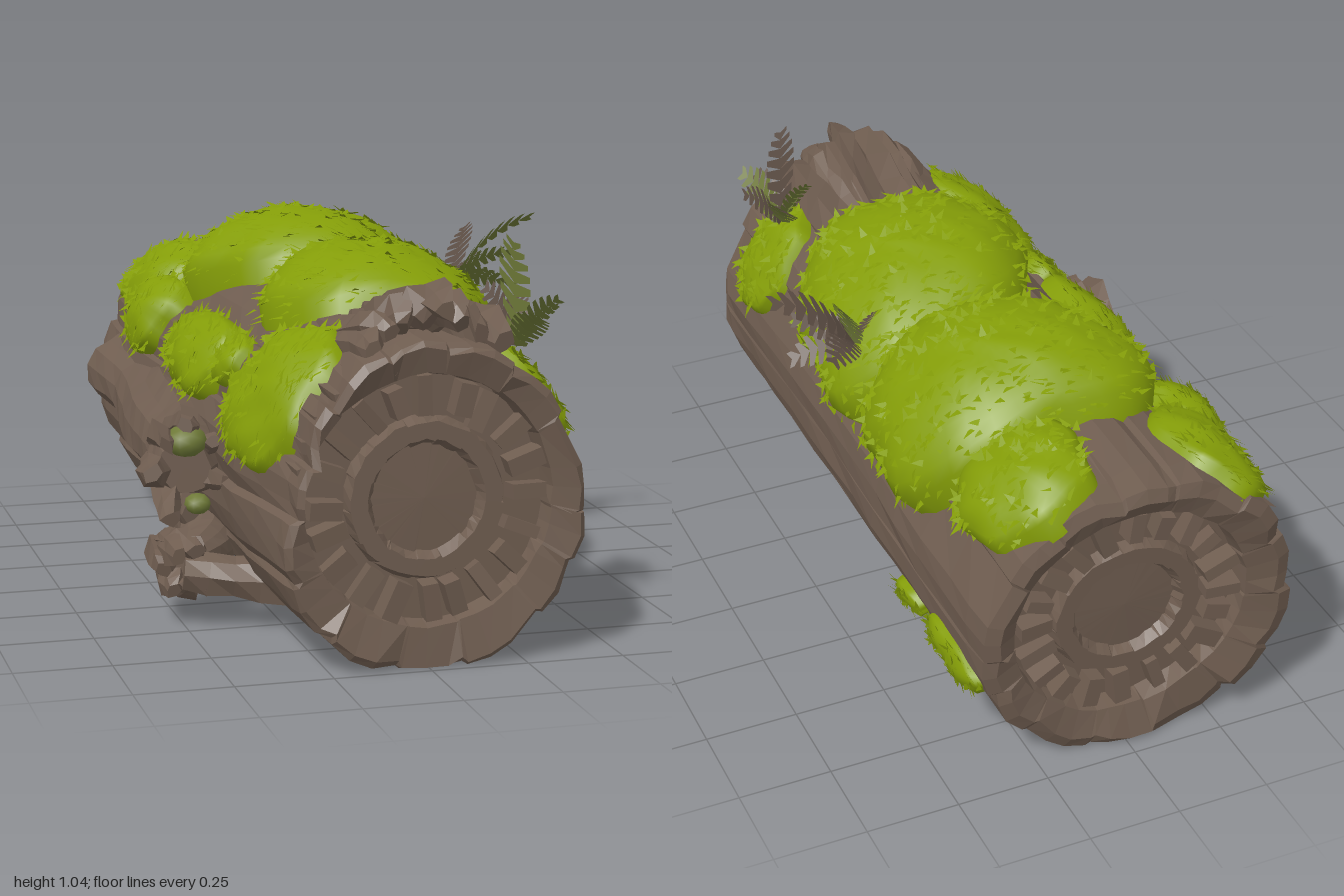
import * as THREE from 'three';

const bark = new THREE.MeshStandardMaterial({ color: 0x6f5d50 }); bark.name = 'bark';
const moss = new THREE.MeshStandardMaterial({ color: 0x849d08, side: THREE.DoubleSide }); moss.name = 'moss';
const fern = new THREE.MeshStandardMaterial({ color: 0x6f7a38 }); fern.name = 'fern';
const dryFern = new THREE.MeshStandardMaterial({ color: 0x5c4d43 }); dryFern.name = 'dryFern';

const V = (x, y, z) => new THREE.Vector3(x, y, z);
const CY = 0.42, RAD = Math.PI / 180;
let seed = 7;
const rnd = () => (seed = (seed * 16807) % 2147483647) / 2147483647;
const jit = a => (rnd() * 2 - 1) * a;
const step = THREE.MathUtils.smoothstep;
const polar = (a, r, z) => V(Math.cos(a) * r, CY + Math.sin(a) * r, z);
const backLean = p => 0.05 * p.x - 0.07 * (p.y - CY);

function fromTriangles(points) {
  const g = new THREE.BufferGeometry().setFromPoints(points);
  g.computeVertexNormals();
  return g;
}

// Closed loops of points joined into a skin, faceted unless smooth
function skin(rows, smooth = false) {
  const n = rows[0].length, idx = [];
  for (let i = 0; i < rows.length - 1; i++)
    for (let j = 0; j < n; j++) {
      const a = i * n + j, b = i * n + (j + 1) % n;
      idx.push(a, b, b + n, a, b + n, a + n);
    }
  let g = new THREE.BufferGeometry().setFromPoints(rows.flat());
  g.setIndex(idx);
  if (!smooth) g = g.toNonIndexed();
  g.computeVertexNormals();
  return g;
}

function add(parent, name, geometry, material) {
  const m = new THREE.Mesh(geometry, material);
  m.name = name;
  parent.add(m);
  return m;
}

// Trunk radius: wider below and at the back left, worn away at the left of the front end
function trunkR(a, z) {
  const worn = Math.max(0, Math.cos(a - 164 * RAD)) ** 4;
  return 0.4 + 0.04 * Math.max(0, -Math.sin(a)) + 0.04 * Math.max(0, -Math.cos(a)) * step(-z, 0.1, 0.8)
    - 0.07 * worn * step(z, 0.55, 0.92);
}

// Wide bark planks with narrow wavering grooves, and hollowed rings on both cut ends
function trunk() {
  const planks = 14, cols = [];
  for (let p = 0; p < planks; p++) {
    const a = (p + jit(0.25)) / planks * Math.PI * 2, w = Math.PI * 2 / planks;
    const lift = jit(0.005), end = jit(0.014), wave = rnd() * 6;
    cols.push({ a, d: -0.014, end, wave }, { a: a + 0.025, d: lift, end, wave },
      { a: a + w * 0.38, d: lift + 0.006, end, wave }, { a: a + w * 0.7, d: lift, end, wave });
  }
  const rings = [[0, 0.06], [0.135, 0.065], [0.15, 0.035], [0.195, 0.035], [0.205, 0.075], [0.31, 0.075], [0.318, 0.02]];
  const ring = (r, z) => cols.map(c => polar(c.a, r + (r ? jit(0.004) : 0), z));
  const outer = (z, inset, useEnd) => cols.map(c =>
    polar(c.a + 0.03 * Math.sin(z * 4 + c.wave), trunkR(c.a, z) + c.d + jit(0.004) - inset, z + (useEnd ? c.end : jit(0.02))));
  const rows = rings.map(([r, d]) => ring(r, -0.97 + d));
  rows.push(outer(-0.97, 0.04, true), outer(-0.955, 0.004, true));
  for (let z = -0.86; z < 0.93; z += 0.16) rows.push(outer(z, 0, false));
  rows.push(outer(0.97, 0.004, true), outer(0.985, 0.02, true));
  rings.reverse().forEach(([r, d]) => rows.push(ring(r, 0.985 - d)));
  rows.flat().forEach(p => {
    if (p.z < -0.8) p.z += backLean(p);
    p.y = Math.max(p.y, 0);
  });
  return skin(rows);
}

// Irregular wooden tube through points [x, y, z, radius]
function limb(path, sides, rough, steps) {
  const curve = new THREE.CatmullRomCurve3(path.map(p => V(p[0], p[1], p[2])));
  const rows = [];
  const ridges = Array.from({ length: sides }, () => 1 + jit(rough));
  for (let i = 0; i <= steps; i++) {
    const t = i / steps, c = curve.getPoint(t), dir = curve.getTangent(t);
    const s = V(0, 1, 0).cross(dir).normalize(), u = dir.clone().cross(s);
    const k = Math.min(Math.floor(t * (path.length - 1)), path.length - 2), f = t * (path.length - 1) - k;
    const r = path[k][3] * (1 - f) + path[k + 1][3] * f;
    rows.push(ridges.map((q, j) => {
      const a = j / sides * Math.PI * 2, rr = r * (q + jit(rough * 0.4));
      return c.clone().addScaledVector(s, Math.cos(a) * rr).addScaledVector(u, Math.sin(a) * rr);
    }));
  }
  const cap = rows.at(-1).reduce((m, p) => m.add(p), V(0, 0, 0)).divideScalar(sides);
  rows.push(rows.at(-1).map(() => cap));
  return skin(rows);
}

// Point on a moss cushion at rho (0 centre, 1 edge); skew slants it around the trunk
function mossPoint(c, rho, phi) {
  const wob = 1 + 0.05 * Math.sin(phi * 3 + c.z * 9) + 0.03 * Math.sin(phi * 7 + c.a);
  const sq = 1 / Math.pow(Math.abs(Math.cos(phi)) ** 2.4 + Math.abs(Math.sin(phi)) ** 2.4, 1 / 2.4);
  const v = rho * wob * sq * Math.sin(phi);
  const a = (c.a + c.ha * rho * wob * sq * Math.cos(phi) + c.skew * v) * RAD, z = c.z + c.hz * v;
  const h = c.t * Math.pow(Math.max(0, 1 - rho ** 2.3), 0.7);
  const bump = rho < 1 ? 0.006 * Math.sin(a * 17 + z * 9) * Math.sin(z * 23 + a * 5) : 0;
  return polar(a, trunkR(a, z) + 0.008 + h + bump - (rho >= 1 ? 0.03 : 0), z);
}

function mossPatch(parent, c) {
  const g = new THREE.Group();
  g.name = c.name;
  parent.add(g);
  const rows = [];
  for (let i = 0; i <= 11; i++)
    rows.push(Array.from({ length: 36 }, (_, j) => mossPoint(c, 1 - i / 11, j / 36 * Math.PI * 2)));
  add(g, 'mossCushion', skin(rows, true), moss);
  // Small leaves lying on the cushion
  const tris = [];
  const count = Math.round(60 + c.ha * c.hz * 24);
  for (let i = 0; i < count; i++) {
    const p = mossPoint(c, Math.sqrt(rnd()) * 0.98, rnd() * Math.PI * 2);
    const out = V(p.x, p.y - CY, 0).normalize();
    const side = V(jit(1), jit(1), jit(1)).cross(out).normalize(), along = out.clone().cross(side);
    tris.push(p.clone().addScaledVector(side, 0.011), p.clone().addScaledVector(side, -0.011),
      p.clone().addScaledVector(out, 0.004 + rnd() * 0.01).addScaledVector(along, 0.036));
  }
  add(g, 'mossLeaves', fromTriangles(tris), moss);
}

// Arching fronds with paired leaflets, each ending at a tip offset; the two faces are coloured apart
function fronds(parent, name, base, tips, upper, lower) {
  const under = [], over = [];
  for (const [x, y, z] of tips) {
    const tip = V(x, y, z), len = tip.length(), n = 8;
    const curve = new THREE.QuadraticBezierCurve3(V(0, 0, 0), V(x * 0.4, y * 0.5 + len * 0.2, z * 0.4), tip);
    const side = V(-z, Math.hypot(x, z) * 0.7, x).normalize();
    for (let i = 0; i < n; i++) {
      const p = curve.getPoint(i / n).add(base), q = curve.getPoint((i + 1) / n).add(base);
      const w = 0.05 * Math.sin(Math.PI * (0.2 + 0.75 * i / n)) * Math.min(1, len / 0.16);
      const dir = q.clone().sub(p);
      for (const s of [-1, 1]) {
        const t = p.clone().addScaledVector(side, s * w).addScaledVector(dir, 0.9);
        const e = t.clone().addScaledVector(dir, 0.5);
        const leaf = s > 0 ? [p, q, t, q, e, t] : [q, p, t, e, q, t];
        under.push(...leaf);
        over.push(...leaf.map(v => v.clone().add(V(0, 0.0015, -0.001))).reverse());
      }
    }
  }
  add(parent, name + 'Underside', fromTriangles(under), lower);
  add(parent, name + 'Upperside', fromTriangles(over), upper);
}

export function createModel() {
  const model = new THREE.Group();
  model.name = 'mossyLog';
  add(model, 'trunk', trunk(), bark);

  // Rough radial wood blocks on each cut end
  for (const [name, z] of [['frontGrain', 0.915], ['backGrain', -0.9]]) {
    const g = new THREE.Group();
    g.name = name;
    for (let i = 0; i < 20; i++) {
      const a = (i + jit(0.15)) / 20 * Math.PI * 2;
      const m = add(g, 'grainBlock', new THREE.BoxGeometry(0.085 + jit(0.018), 0.04 + jit(0.008), 0.09), bark);
      m.position.copy(polar(a, 0.262 + jit(0.008), z + jit(0.008)));
      if (z < 0) m.position.z += backLean(m.position);
      m.rotation.set(jit(0.12), jit(0.12), a + jit(0.15));
    }
    model.add(g);
  }

  // Two side limbs along the left of the front view, ending in broken lumps
  const limbs = [
    ['upperLimb', [[-0.39, 0.44, -0.82, 0.12], [-0.37, 0.42, -0.55, 0.11], [-0.4, 0.4, -0.15, 0.13], [-0.42, 0.4, 0.1, 0.115], [-0.46, 0.41, 0.3, 0.1], [-0.485, 0.41, 0.4, 0.07]], 0.1],
    ['lowerLimb', [[-0.32, 0.25, -0.55, 0.05], [-0.35, 0.19, -0.1, 0.08], [-0.4, 0.16, 0.25, 0.08], [-0.5, 0.16, 0.42, 0.05]], 0.055]];
  for (const [name, path, r] of limbs) {
    const g = new THREE.Group();
    g.name = name;
    add(g, 'limbBark', limb(path, 15, 0.08, 16), bark);
    const [x, y, z] = path.at(-1);
    for (let i = 0; i < 7; i++) {
      const a = i / 7 * Math.PI * 2 + 0.5, c = Math.cos(a) * r, s = Math.sin(a) * r;
      add(g, 'splinter', limb([[x + c * 0.5, y + s * 0.6, z - 0.14, 0.04], [x + c * 0.8, y + s * 1.1, z - 0.02, 0.04],
        [x + c + jit(0.02), y + s * 1.3 + jit(0.03), z + 0.05 + jit(0.04), 0.022]], 6, 0.4, 4), bark);
    }
    model.add(g);
  }
  add(model, 'lowerLimbFlare', limb([[-0.18, 0.13, 0.5, 0.09], [-0.34, 0.13, 0.47, 0.065], [-0.5, 0.15, 0.44, 0.06]], 8, 0.25, 5), bark);

  // Dull growth on the broken limb
  for (const [x, y, z, r] of [[-0.48, 0.48, 0.39, 0.055], [-0.46, 0.32, 0.43, 0.035]]) {
    const m = add(model, 'limbGrowth', new THREE.IcosahedronGeometry(r, 1), fern);
    m.position.set(x, y, z);
    m.scale.set(1, 0.8, 1.1);
  }

  // Torn bark crest over the top of the front end
  const crest = new THREE.Group();
  crest.name = 'tornBarkCrest';
  for (let i = 0; i < 8; i++) {
    const x = -0.14 + i * 0.045, lift = 0.11 * Math.sin(Math.PI * ((i + 1.2) / 9) ** 1.3) + jit(0.012);
    add(crest, 'barkShard', limb([[x * 0.9, 0.76, 0.45, 0.05], [x, 0.77 + lift * 0.4, 0.66, 0.055], [x + 0.01, 0.78 + lift, 0.83, 0.05],
      [x + 0.02 + jit(0.02), 0.765 + lift + jit(0.03), 0.91 + jit(0.05), 0.024]], 6, 0.4, 6), bark);
  }
  for (let i = 0; i < 6; i++) {
    const a = (106 + i * 12) * RAD, p = polar(a, 0.36, 0.4), q = polar(a, 0.355 - i * 0.007, 0.95 + jit(0.03));
    add(crest, 'edgeShard', limb([[p.x, p.y, p.z, 0.03], [q.x, q.y, q.z - 0.2, 0.032], [q.x, q.y, q.z, 0.02]], 5, 0.35, 4), bark);
  }
  model.add(crest);

  // Moss cushions: centre angle, half angle, centre z, half length, thickness, skew
  [['frontTopMoss', 70, 53, 0.2, 0.37, 0.14, 10], ['backTopMoss', 72, 58, -0.37, 0.32, 0.15, -8],
    ['backRightMoss', 57, 27, -0.76, 0.2, 0.08, 0], ['backLeftMoss', 132, 21, -0.79, 0.2, 0.05, 0],
    ['backLeftLowMoss', 146, 17, -0.54, 0.15, 0.07, 0], ['middleLeftMoss', 148, 17, -0.01, 0.27, 0.07, 0],
    ['smallLeftMoss', 143, 11, 0.28, 0.09, 0.04, 0], ['frontLeftMoss', 143, 32, 0.65, 0.22, 0.05, 0],
    ['frontRightMoss', 32, 25, 0.73, 0.135, 0.03, 0], ['rightLowMoss', -21, 9, -0.74, 0.165, 0.035, 0],
    ['rightSmallMoss', -27, 5, -0.42, 0.08, 0.025, 0]
  ].forEach(([name, a, ha, z, hz, t, skew]) => mossPatch(model, { name, a, ha, z, hz, t, skew }));

  // Ferns: green below, dry brown above, with a few fully green low fronds
  const front = V(0.3, 0.75, 0.73), side = V(0.38, 0.8, -0.04);
  fronds(model, 'frontFern', front, [[-0.02, 0.27, 0.03], [0.1, 0.1, 0.02], [0.02, 0.09, 0.14], [-0.06, 0.14, -0.07], [0.03, 0.1, -0.13]], dryFern, fern);
  fronds(model, 'frontFernGreen', front, [[-0.1, 0.09, 0.03], [0.08, 0.13, 0.09]], fern, fern);
  fronds(model, 'sideFern', side, [[0.22, 0.17, 0.01], [0.17, -0.02, 0.02], [0.15, 0.08, 0.05], [0.11, 0.04, -0.13],
    [0.09, 0.03, 0.1], [0.05, 0.14, -0.05], [-0.07, 0.06, 0.03]], dryFern, fern);
  return model;
}
